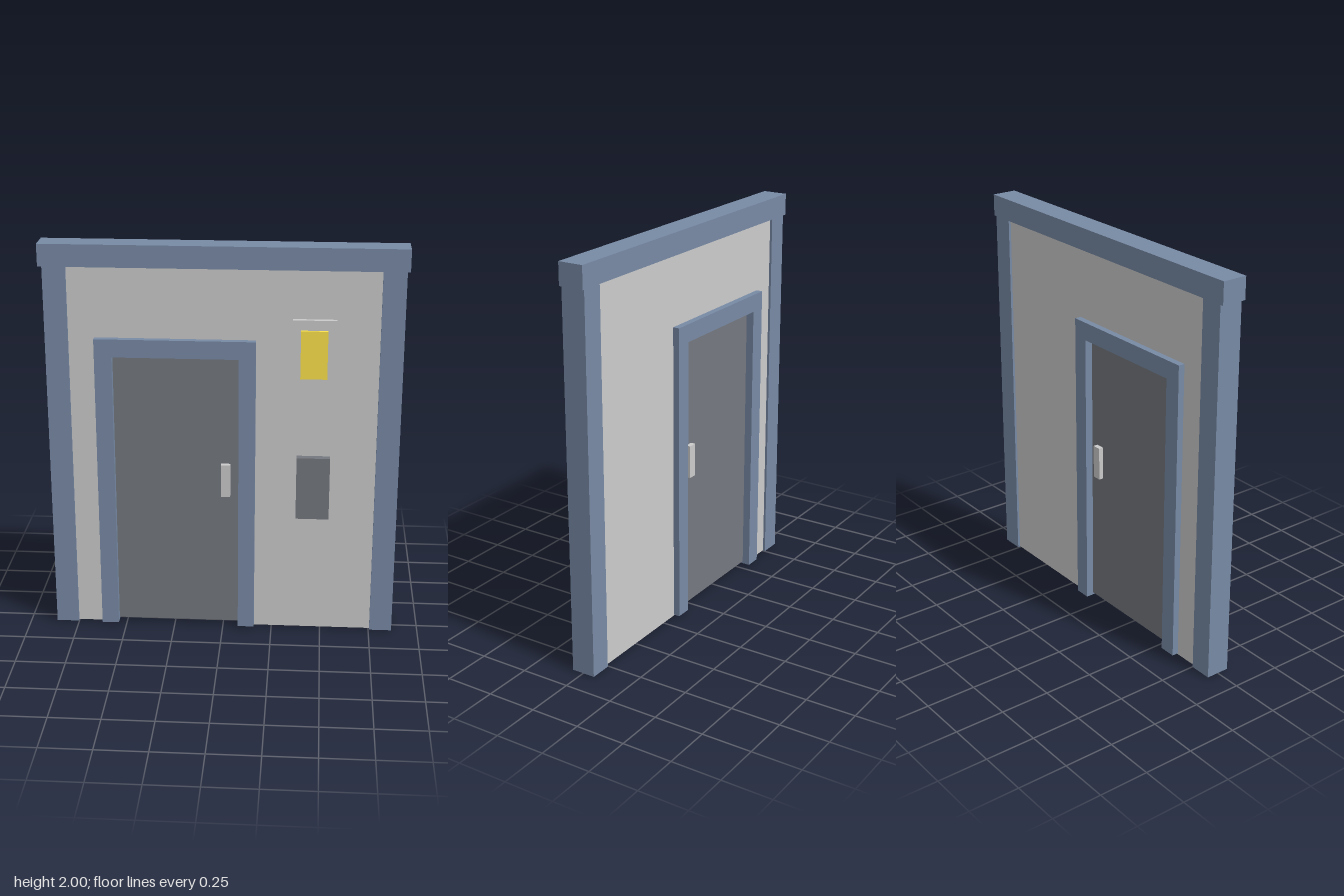
import * as THREE from 'three';

const material = (color) => new THREE.MeshStandardMaterial({ color });

export function createModel() {
  const model = new THREE.Group();
  const blue = material(0x788aa5);
  const grey = material(0xcccccc);
  const dark = material(0x75787f);
  const yellow = material(0xfde44c);

  // Box given by its extents along each axis
  function block(name, mat, [x0, x1], [y0, y1], [z0, z1]) {
    const mesh = new THREE.Mesh(new THREE.BoxGeometry(x1 - x0, y1 - y0, z1 - z0), mat);
    mesh.position.set((x0 + x1) / 2, (y0 + y1) / 2, (z0 + z1) / 2);
    mesh.name = name;
    model.add(mesh);
  }

  // Upright outline with an open-bottomed doorway, extruded through z
  function arch(name, mat, [x0, x1], [y0, y1], [dx0, dx1], doorTop, [z0, z1]) {
    const outline = [[x0, y0], [dx0, y0], [dx0, doorTop], [dx1, doorTop], [dx1, y0], [x1, y0], [x1, y1], [x0, y1]];
    const shape = new THREE.Shape(outline.map(([x, y]) => new THREE.Vector2(x, y)));
    const geometry = new THREE.ExtrudeGeometry(shape, { depth: z1 - z0, bevelEnabled: false });
    geometry.translate(0, 0, z0);
    const mesh = new THREE.Mesh(geometry, mat);
    mesh.name = name;
    model.add(mesh);
  }

  // Wall between two pillars, capped by a beam
  arch('wall', grey, [-0.76, 0.76], [0.003, 1.9], [-0.56, 0.1], 1.44, [-0.05, 0.047]);
  block('rightPillar', blue, [-0.865, -0.752], [0, 1.89], [-0.062, 0.06]);
  block('leftPillar', blue, [0.755, 0.868], [0, 1.89], [-0.062, 0.06]);
  block('topBeam', blue, [-0.885, 0.882], [1.89, 2], [-0.065, 0.062]);

  // Door, its frame and a handle on each face
  arch('doorFrame', blue, [-0.625, 0.16], [0.008, 1.54], [-0.54, 0.078], 1.45, [-0.083, 0.08]);
  block('door', dark, [-0.56, 0.1], [0.02, 1.44], [-0.043, 0.04]);
  for (const [name, depth] of [['frontHandle', [0.04, 0.064]], ['backHandle', [-0.067, -0.043]]]) {
    block(name, grey, [-0.01, 0.036], [0.725, 0.895], depth);
  }

  // Lit sign and lower panel on the front of the wall
  block('signPlate', grey, [0.335, 0.545], [1.28, 1.65], [0.04, 0.07]);
  block('signLight', yellow, [0.375, 0.505], [1.36, 1.6], [0.06, 0.083]);
  block('controlPanel', dark, [0.365, 0.53], [0.625, 0.95], [0.04, 0.083]);

  return model;
}
